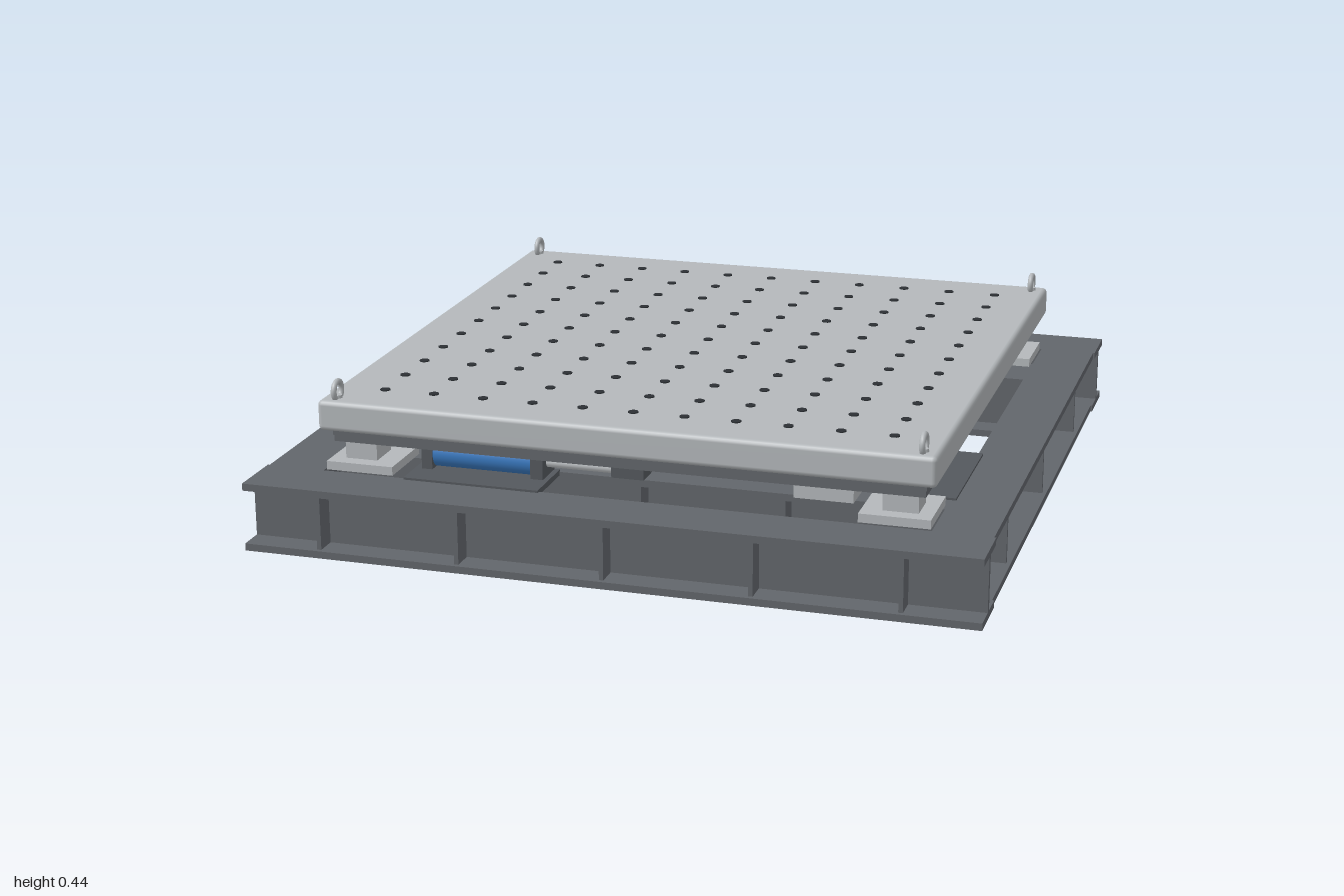
import * as THREE from 'three';
import { RoundedBoxGeometry } from 'three/addons/geometries/RoundedBoxGeometry.js';

const mat = (name, color) => {
  const m = new THREE.MeshStandardMaterial({ color });
  m.name = name;
  return m;
};

export function createModel() {
  const frameGrey = mat('frame grey', 0x62666b);
  const plateGrey = mat('plate grey', 0xb4b8bb);
  const steel = mat('bright steel', 0xc9cdd0);
  const blue = mat('actuator blue', 0x3b7cc4);
  const holeDark = mat('hole dark', 0x2c3034);
  const darkSteel = mat('dark steel', 0x54585d);

  const model = new THREE.Group();
  model.name = 'shakeTable';

  const add = (parent, name, geo, material, x = 0, y = 0, z = 0) => {
    const mesh = new THREE.Mesh(geo, material);
    mesh.name = name;
    mesh.position.set(x, y, z);
    parent.add(mesh);
    return mesh;
  };
  // box given by its limits on each axis
  const box = (parent, name, material, x0, x1, y0, y1, z0, z1) =>
    add(parent, name, new THREE.BoxGeometry(x1 - x0, y1 - y0, z1 - z0), material,
      (x0 + x1) / 2, (y0 + y1) / 2, (z0 + z1) / 2);
  // cylinder lying along x
  const bar = (parent, name, material, x0, x1, y, z, r, sides = 32) => {
    const geo = new THREE.CylinderGeometry(r, r, x1 - x0, sides).rotateZ(Math.PI / 2);
    return add(parent, name, geo, material, (x0 + x1) / 2, y, z);
  };

  // I-beam along x with web stiffeners
  const iBeam = (name, length, width, stiffeners) => {
    const g = new THREE.Group();
    g.name = name;
    const l = length / 2, w = width / 2;
    box(g, 'bottomFlange', frameGrey, -l, l, 0, 0.02, -w, w);
    box(g, 'topFlange', frameGrey, -l, l, 0.17, 0.19, -w, w);
    box(g, 'web', frameGrey, -l, l, 0.02, 0.17, -0.008, 0.008);
    for (const x of stiffeners)
      box(g, 'stiffener', frameGrey, x - 0.006, x + 0.006, 0.02, 0.17, -w + 0.012, w - 0.012);
    model.add(g);
    return g;
  };

  // base frame: long beams front and back, shorter beams at the sides
  for (const s of [-1, 1]) {
    iBeam('endBeam', 2, 0.16, [-0.79, -0.4, 0, 0.4, 0.79]).position.z = s * 0.92;
    const side = iBeam('sideBeam', 1.68, 0.16, [-0.57, 0, 0.57]);
    side.rotation.y = Math.PI / 2;
    side.position.x = s * 0.915;
    iBeam('crossBeam', 1.68, 0.17, [-0.4, 0, 0.4]).position.z = s * 0.59;
  }

  // one drive unit per side, repeated by quarter turns
  for (let i = 0; i < 4; i++) {
    const g = new THREE.Group();
    g.name = 'driveUnit';
    g.rotation.y = i * Math.PI / 2;
    model.add(g);
    const z = 0.72;
    bar(g, 'actuatorBody', blue, -0.55, -0.27, 0.237, z, 0.043);
    box(g, 'rearFlange', darkSteel, -0.58, -0.55, 0.19, 0.285, z - 0.047, z + 0.047);
    box(g, 'frontFlange', darkSteel, -0.27, -0.235, 0.19, 0.285, z - 0.047, z + 0.047);
    bar(g, 'pistonRod', steel, -0.235, -0.03, 0.238, z, 0.019);
    box(g, 'rodBracket', darkSteel, -0.045, 0.045, 0.22, 0.3, z - 0.04, z + 0.04);
    box(g, 'valveBlock', plateGrey, -0.45, -0.36, 0.272, 0.3, z - 0.03, z + 0.03);
    box(g, 'actuatorMount', darkSteel, -0.6, -0.22, 0.18, 0.196, z - 0.05, z + 0.13);
    // guide carriage and corner bearing
    box(g, 'guideCarriage', plateGrey, 0.45, 0.61, 0.21, 0.27, 0.65, 0.75);
    box(g, 'bearingPlate', plateGrey, 0.64, 0.83, 0.19, 0.214, 0.64, 0.83);
    box(g, 'bearingBlock', plateGrey, 0.695, 0.79, 0.214, 0.27, 0.7, 0.79);
  }

  // underside of the table: dark base plate with a grid of ribs
  box(model, 'tableBase', frameGrey, -0.815, 0.815, 0.285, 0.31, -0.815, 0.815);
  for (const s of [-0.8, -0.68, -0.34, 0, 0.34, 0.68, 0.8]) {
    box(model, 'ribAlongZ', frameGrey, s - 0.012, s + 0.012, 0.267, 0.29, -0.812, 0.812);
    box(model, 'ribAlongX', frameGrey, -0.812, 0.812, 0.267, 0.29, s - 0.012, s + 0.012);
  }

  // table top
  add(model, 'tableTop', new RoundedBoxGeometry(1.69, 0.085, 1.69, 2, 0.014), plateGrey, 0, 0.3455, 0);

  // grid of fixing holes
  const holeGeo = new THREE.CylinderGeometry(0.014, 0.014, 0.006, 12);
  const holes = new THREE.Group();
  holes.name = 'fixingHoles';
  model.add(holes);
  for (let i = -5; i <= 5; i++)
    for (let j = -5; j <= 5; j++)
      add(holes, 'fixingHole', holeGeo, holeDark, i * 0.141, 0.388, j * 0.141);

  // lifting eyes at the corners
  const ringGeo = new THREE.TorusGeometry(0.025, 0.008, 10, 28).rotateY(Math.PI / 2);
  const footGeo = new THREE.CylinderGeometry(0.012, 0.014, 0.012, 16);
  for (const x of [-0.802, 0.802])
    for (const z of [-0.802, 0.802]) {
      add(model, 'liftingEye', ringGeo, plateGrey, x, 0.408, z);
      add(model, 'liftingEyeFoot', footGeo, plateGrey, x, 0.39, z);
    }

  return model;
}
